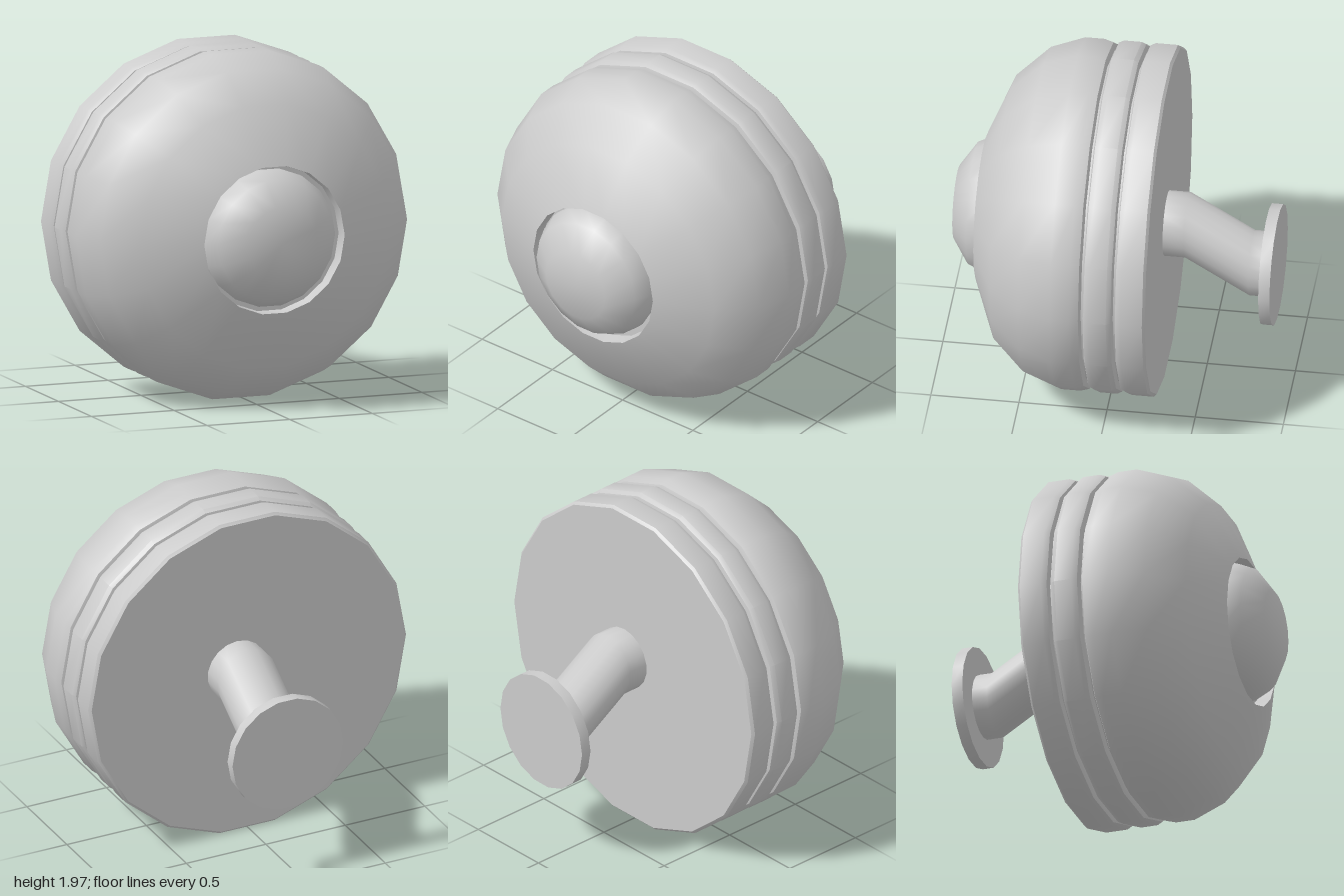
import * as THREE from 'three';
import { toCreasedNormals } from 'three/addons/utils/BufferGeometryUtils.js';

const SIDES = 18;
const CENTRE_Y = 0.98;
const material = new THREE.MeshStandardMaterial({ color: 0xcccccc });

// Turns a profile of [radius, z] pairs, listed back to front, around the z axis.
function turned(name, profile, x, y) {
  const points = profile.map(([r, z]) => new THREE.Vector2(r, z));
  const lathe = new THREE.LatheGeometry(points, SIDES, Math.PI / 2).rotateX(Math.PI / 2);
  const mesh = new THREE.Mesh(toCreasedNormals(lathe, 0.62), material);
  mesh.name = name;
  mesh.position.set(x, y, 0);
  return mesh;
}

export function createModel() {
  const group = new THREE.Group();
  group.name = 'roundLamp';

  // Rear and middle rings, with narrow grooves between
  group.add(turned('rearDisc', [
    [0, -0.28], [0.985, -0.28], [1, -0.265], [1, -0.14], [0.985, -0.11], [0.96, -0.104], [0, -0.104],
  ], 0, CENTRE_Y));
  group.add(turned('middleDisc', [
    [0, -0.092], [0.96, -0.092], [0.985, -0.085], [1, -0.06], [1, 0.04], [0.985, 0.07], [0.96, 0.078], [0, 0.078],
  ], 0, CENTRE_Y));
  group.add(turned('grooveCore', [
    [0, -0.12], [0.94, -0.12], [0.94, 0.11], [0, 0.11],
  ], 0, CENTRE_Y));

  // Domed housing with a recess at the front
  group.add(turned('domeHousing', [
    [0, 0.09], [0.96, 0.09], [0.985, 0.1], [1, 0.15], [1, 0.26], [0.93, 0.45],
    [0.755, 0.635], [0.425, 0.77], [0.42, 0.69], [0, 0.69],
  ], 0, CENTRE_Y));

  // Front knob sitting in the recess
  group.add(turned('frontKnob', [
    [0, 0.66], [0.395, 0.66], [0.393, 0.73], [0.35, 0.825], [0.21, 0.92], [0, 0.92],
  ], -0.01, 0.985));

  // Cranked stem: straight cylinder with its rings shifted down after the first bend
  const stemRings = [[-0.27, 1.02], [-0.4, 1.02], [-0.765, 0.79], [-0.86, 0.79]];
  const stem = new THREE.CylinderGeometry(0.185, 0.185, 1, SIDES, 3, true).rotateX(Math.PI / 2);
  const pos = stem.attributes.position;
  for (let i = 0; i < pos.count; i++) {
    const [z, y] = stemRings[Math.round((0.5 - pos.getZ(i)) * 3)];
    pos.setXYZ(i, pos.getX(i), pos.getY(i) + y, z);
  }
  const stemMesh = new THREE.Mesh(toCreasedNormals(stem, 0.7), material);
  stemMesh.name = 'bentStem';
  stemMesh.position.x = 0.07;
  group.add(stemMesh);

  // Mounting plate, very slightly turned
  const plate = turned('mountingPlate', [
    [0, -0.032], [0.345, -0.032], [0.345, 0.032], [0, 0.032],
  ], 0.07, 0.79);
  plate.position.z = -0.882;
  plate.rotation.y = -0.015;
  group.add(plate);

  return group;
}
